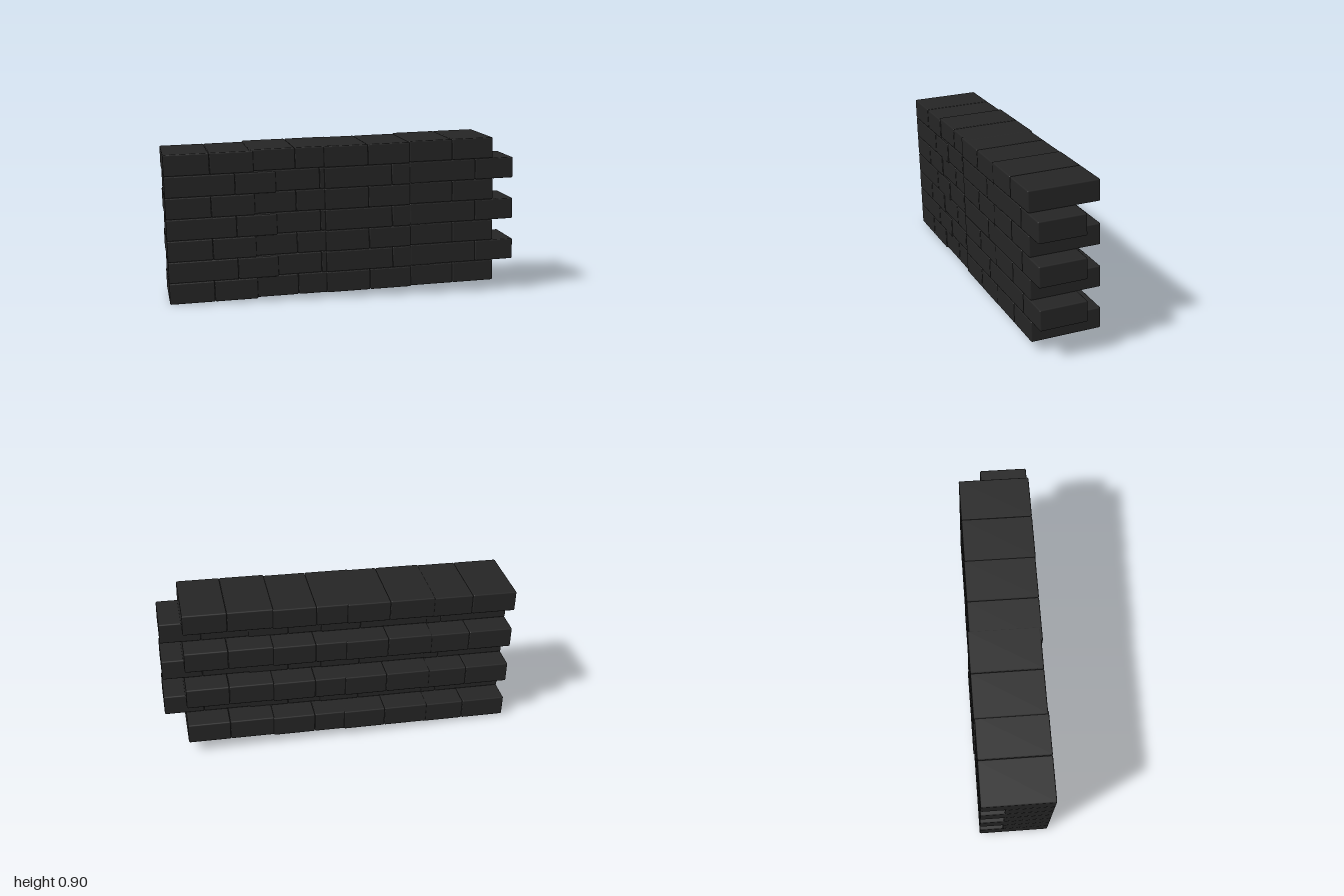
import * as THREE from 'three';
import { RoundedBoxGeometry } from 'three/addons/geometries/RoundedBoxGeometry.js';

export function createModel() {
  const model = new THREE.Group();
  model.name = 'brickWall';
  const brickMaterial = new THREE.MeshStandardMaterial({ color: 0x252525 });
  brickMaterial.name = 'charcoal brick';

  const rows = 7, pitch = 0.119, height = 0.1185;
  // Even courses are deep, odd courses are shallow and shifted sideways
  const courses = [
    { cuts: [0, 0.25, 0.49], depth: 0.395 },
    { cuts: [0, 0.385, 0.61], depth: 0.265 },
  ];
  // Overlapping wall sections: start along the wall, then small lift and forward shift
  const sections = [
    [0, 0, 0],
    [0.47, 0.006, -0.005],
    [0.88, 0.005, 0.003],
    [1.366, 0.01, 0.005],
  ];

  // Local origin is the lower front left corner of the wall
  sections.forEach(([start, lift, forward], s) => {
    const section = new THREE.Group();
    section.name = `wallSection${s + 1}`;
    section.position.set(start, lift, forward);
    for (let row = 0; row < rows; row++) {
      const { cuts, depth } = courses[row % 2];
      for (let i = 0; i < cuts.length - 1; i++) {
        const width = cuts[i + 1] - cuts[i] - 0.001;
        const brick = new THREE.Mesh(
          new RoundedBoxGeometry(width, height, depth, 1, 0.007), brickMaterial);
        brick.name = row % 2 ? 'shallowBrick' : 'deepBrick';
        brick.position.set((cuts[i] + cuts[i + 1]) / 2, (row + 0.5) * pitch, -depth / 2);
        section.add(brick);
      }
    }
    model.add(section);
  });

  // The whole wall is slightly turned and leaning
  const wall = new THREE.Group();
  wall.name = 'wall';
  wall.add(...model.children.slice());
  wall.position.set(-0.975, 0.004, 0.282);
  wall.rotation.set(0.024, 0.104, 0.025);
  model.add(wall);
  return model;
}
